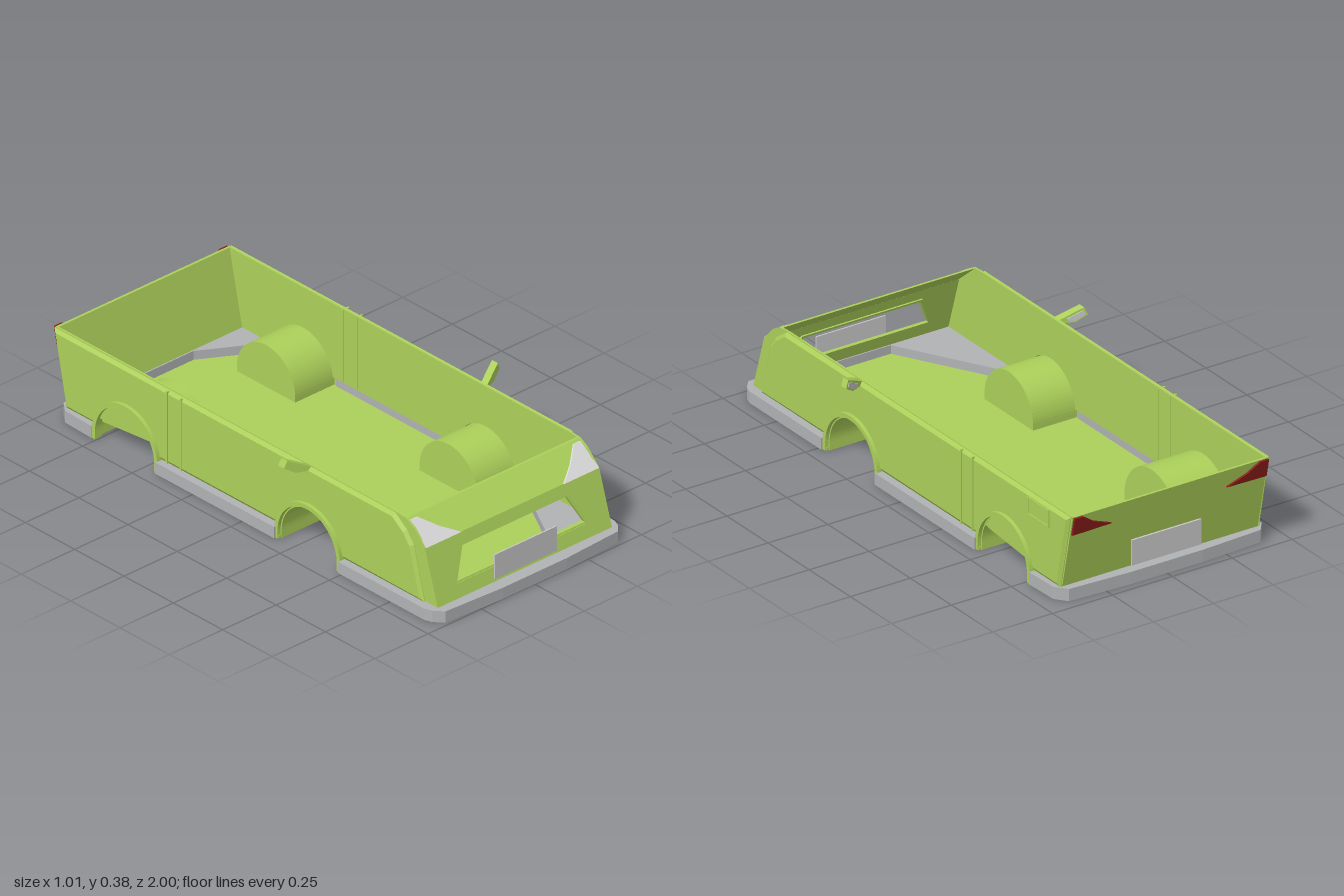
import * as THREE from 'three';

const mat = (name, color) => {
  const m = new THREE.MeshStandardMaterial({ color });
  m.name = name;
  return m;
};

const ARCH_Y = 0.03, FRONT_Z = 0.32, REAR_Z = -0.605;

const poly = (pts) => new THREE.Shape(pts.map(([a, b]) => new THREE.Vector2(a, b)));
const extrude = (shape, depth, extra = {}) =>
  new THREE.ExtrudeGeometry(shape, { depth, bevelEnabled: false, curveSegments: 20, ...extra });

// Outline in (x, z), raised from y0 to y1
const slab = (pts, y0, y1) => extrude(poly(pts), y1 - y0).rotateX(Math.PI / 2).translate(0, y1, 0);

// Outline in (z, y), between two x positions on side s
function sidePlate(shape, xIn, xOut, s) {
  const g = extrude(shape, xOut - xIn).rotateY(-Math.PI / 2);
  return g.translate(s > 0 ? xOut : -xIn, 0, 0);
}

// Outline in (x, y), leaned along z by a rule
function leaning(shape, depth, rule) {
  const g = extrude(shape, depth), p = g.attributes.position;
  for (let i = 0; i < p.count; i++) p.setZ(i, p.getZ(i) + rule(p.getX(i), p.getY(i)));
  g.computeVertexNormals();
  return g;
}

// Body side profile with two wheel openings
function sideShape(front, rearBottom, rearTop, top) {
  const s = new THREE.Shape(), r = 0.15, y = 0.045;
  const a = Math.asin((y - ARCH_Y) / r);
  s.moveTo(rearBottom, y);
  for (const cz of [REAR_Z, FRONT_Z]) {
    s.lineTo(cz - r * Math.cos(a), y);
    s.absarc(cz, ARCH_Y, r, Math.PI - a, a, true);
  }
  for (const [z, h] of front) s.lineTo(z, h);
  s.lineTo(rearTop, top);
  s.closePath();
  return s;
}

// Arch band, or a filled arch when ri is 0
function archShape(cz, ro, ri) {
  const s = new THREE.Shape();
  s.moveTo(cz - ro, 0);
  s.lineTo(cz - ro, ARCH_Y);
  s.absarc(cz, ARCH_Y, ro, Math.PI, 0, true);
  s.lineTo(cz + ro, 0);
  if (ri) {
    s.lineTo(cz + ri, 0);
    s.lineTo(cz + ri, ARCH_Y);
    s.absarc(cz, ARCH_Y, ri, 0, Math.PI, false);
    s.lineTo(cz - ri, 0);
  }
  s.closePath();
  return s;
}

export function createModel() {
  const root = new THREE.Group();
  root.name = 'vanBody';
  const green = mat('bodyGreen', 0xacd05a);
  const grey = mat('skirtGrey', 0xb0b2b4);
  const silver = mat('plateSilver', 0xc6c6c6);
  const lamp = mat('headlightWhite', 0xd8d8d8);
  const red = mat('taillightRed', 0x8c1f1a);
  const add = (name, geo, m) => {
    const mesh = new THREE.Mesh(geo, m);
    mesh.name = name;
    root.add(mesh);
    return mesh;
  };

  // Floor with four wheel cutouts
  const half = (rearIn, rearR) => [
    [0.395, 0.985], [0.435, 0.93], [0.435, FRONT_Z + 0.147], [0.225, FRONT_Z + 0.147],
    [0.225, FRONT_Z - 0.147], [0.435, FRONT_Z - 0.147], [0.435, REAR_Z + rearR], [rearIn, REAR_Z + rearR],
    [rearIn, REAR_Z - rearR], [0.435, REAR_Z - rearR], [0.43, -0.91], [0.395, -0.95]];
  const mirrored = half(0.185, 0.163).map(([x, z]) => [-x, z]).reverse();
  add('floor', slab([...half(0.225, 0.147), ...mirrored], 0.001, 0.012), green);

  // Lower skirt: front and rear wraps, straight sills between the wheels
  const wrap = (pts) => [...pts, ...pts.map(([x, z]) => [-x, z]).reverse()];
  const frontWrap = [[0.405, 0.485], [0.445, 0.485], [0.445, 0.92], [0.435, 0.95], [0.405, 0.985], [0.15, 1]];
  const frontInner = [[0.15, 0.945], [0.405, 0.935]];
  const ring = (outer, inner) => [...wrap(outer), ...wrap(inner).map(([x, z]) => [-x, z])];
  add('frontSkirt', slab(ring(frontWrap, frontInner), 0, 0.045), grey);
  const rearWrap = [[0.405, -0.77], [0.44, -0.77], [0.435, -0.91], [0.40, -0.955], [0.15, -0.968]];
  add('rearSkirt', slab(ring(rearWrap, [[0.15, -0.92], [0.405, -0.91]]), 0, 0.047), grey);

  // Front: bent in two panels, the lower one with a grille opening
  const lowerZ = (x, y) => 0.885 + (0.255 - y) * 0.31 - 0.01;
  const hoodZ = (x, y) => 0.79 + (0.335 - y) * 1.19 - 0.01;
  const trapezoid = (d) => [[-0.305 - d, 0.095 - d], [0.305 + d, 0.095 - d], [0.25 + d, 0.215 + d], [-0.25 - d, 0.215 + d]];
  const lower = poly([[-0.405, 0.045], [0.405, 0.045], [0.405, 0.255], [-0.405, 0.255]]);
  lower.holes.push(poly(trapezoid(0)));
  add('frontPanel', leaning(lower, 0.01, lowerZ), green);
  const trim = poly(trapezoid(0.002));
  trim.holes.push(poly(trapezoid(-0.006)));
  add('grilleFrame', leaning(trim, 0.016, (x, y) => lowerZ(x, y) - 0.008), green);
  add('hoodPanel', leaning(poly([[-0.405, 0.255], [0.405, 0.255], [0.4, 0.335], [-0.4, 0.335]]), 0.01, hoodZ), green);

  // Rear panel, leaning outward to the top
  const rearZ = (x, y) => -0.925 - (y - 0.045) * 0.22;
  add('rearPanel', leaning(poly([[-0.408, 0.045], [0.408, 0.045], [0.408, 0.337], [-0.408, 0.337]]), 0.01, rearZ), green);

  // Number plates
  add('frontPlate', new THREE.BoxGeometry(0.29, 0.097, 0.006).translate(0, 0.107, 0.953), silver);
  add('rearPlate', new THREE.BoxGeometry(0.29, 0.097, 0.008).translate(0, 0.118, -0.963), silver);

  const wallFront = [[0.95, 0.045], [0.885, 0.255], [0.83, 0.312], [0.79, 0.335], [0.74, 0.338]];
  const panelFront = [[0.89, 0.045], [0.835, 0.25], [0.80, 0.295], [0.74, 0.338]];
  for (const s of [1, -1]) {
    const side = s > 0 ? 'left' : 'right';
    const flip = (pts) => poly(pts.map(([x, y]) => [s * x, y]));

    // Side wall with a raised, chamfered outer panel
    add(side + 'Wall', sidePlate(sideShape(wallFront, -0.925, -0.988, 0.338), 0.4, 0.408, s), green);
    const bevel = { bevelEnabled: true, bevelThickness: 0.01, bevelSize: 0.014, bevelOffset: -0.014, bevelSegments: 1 };
    const outer = extrude(sideShape(panelFront, -0.925, -0.986, 0.338), 0.002, bevel).rotateY(-Math.PI / 2);
    add(side + 'OuterPanel', outer.translate(s * 0.413 + 0.001, 0, 0), green);

    // Door pillar ribs, inside and out
    for (const z of [-0.335, -0.405]) {
      add(side + 'PillarRib', new THREE.BoxGeometry(0.03, 0.285, 0.008).translate(s * 0.412, 0.193, z), green);
    }

    // Sill between the wheels
    add(side + 'Sill', slab([[0.405, 0.16], [0.445, 0.16], [0.445, -0.445], [0.405, -0.445]]
      .map(([x, z]) => [s * x, z]), 0, 0.045), grey);

    // Wheel arches and inner wells
    for (const [name, cz] of [['Front', FRONT_Z], ['Rear', REAR_Z]]) {
      const big = s < 0 && name === 'Rear';
      const r = big ? 0.165 : 0.148, xIn = big ? 0.185 : 0.225;
      add(side + name + 'ArchFlare', sidePlate(archShape(cz, 0.166, 0.15), 0.408, 0.438, s), green);
      add(side + name + 'WheelWell', sidePlate(archShape(cz, r, r - 0.005), xIn, 0.425, s), green);
      add(side + name + 'WellCap', sidePlate(archShape(cz, r, 0), xIn, xIn + 0.005, s), green);
    }

    // Lamps
    const head = flip([[0.405, 0.256], [0.24, 0.256], [0.305, 0.288], [0.365, 0.328], [0.398, 0.328]]);
    add(side + 'Headlight', leaning(head, 0.008, (x, y) => hoodZ(x, y) + 0.007), lamp);
    const tail = flip([[0.405, 0.335], [0.405, 0.265], [0.24, 0.268], [0.32, 0.3], [0.37, 0.335]]);
    add(side + 'Taillight', leaning(tail, 0.009, (x, y) => rearZ(x, y) - 0.0105), red);

    // Swept door mirror with a rear-facing glass
    const sweep = (x) => 0.285 - (Math.abs(x) - 0.41) * 0.42;
    const arm = flip([[0.405, 0.335], [0.42, 0.324], [0.465, 0.324], [0.505, 0.35], [0.493, 0.378]]);
    add(side + 'Mirror', leaning(arm, 0.03, sweep), green);
    const glass = flip([[0.435, 0.34], [0.44, 0.33], [0.463, 0.33], [0.497, 0.352], [0.489, 0.368]]);
    add(side + 'MirrorGlass', leaning(glass, 0.004, (x) => sweep(x) - 0.003), silver);
  }

  // Fuel flap: a slim raised frame and lid on one side
  const flap = (d) => poly([[-0.87 + d, 0.255 + d], [-0.74 - d, 0.255 + d], [-0.74 - d, 0.322 - d], [-0.87 + d, 0.322 - d]]);
  const frame = flap(0);
  frame.holes.push(flap(0.005));
  add('fuelFlapFrame', sidePlate(frame, 0.42, 0.428, 1), green);
  return root;
}
